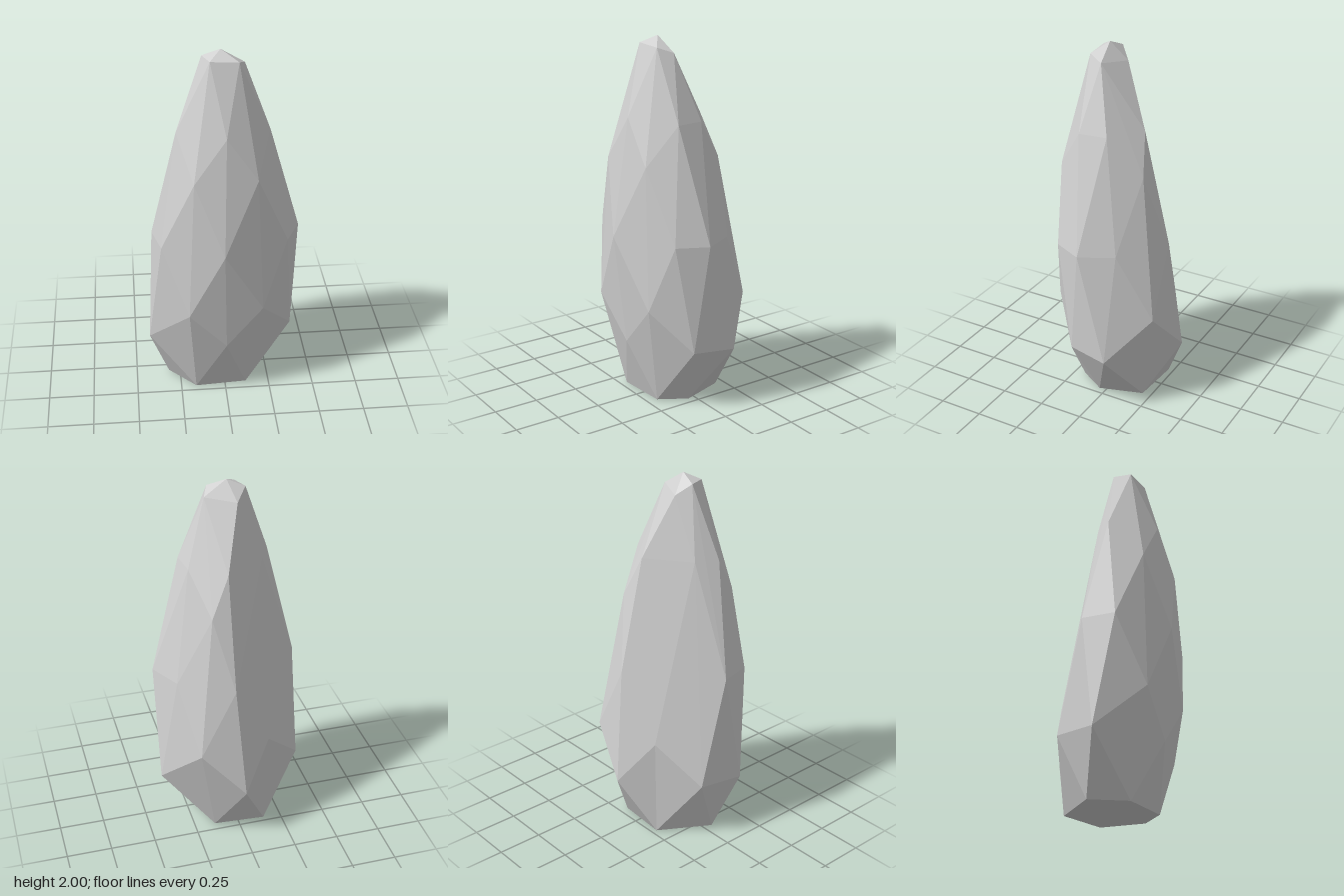
import * as THREE from 'three';
import { ConvexGeometry } from 'three/addons/geometries/ConvexGeometry.js';

// Corner rings of the stone, bottom to top: each has a height and [x, z, height offset] corners
const RINGS = [
  { y: 0, corners: [[-0.165, 0.21], [0.12, 0.19], [0.21, 0.04], [0.135, -0.2], [-0.15, -0.22], [-0.315, 0.05]] },
  { y: 0.34, corners: [[0, 0.31], [0.375, 0.12, 0.01], [0.42, -0.11], [0, -0.375, -0.02], [-0.38, -0.09], [-0.42, 0.16, -0.01]] },
  { y: 0.57, corners: [[-0.205, 0.345], [0.2, 0.295], [0.235, -0.31], [-0.165, -0.24]] },
  { y: 0.95, corners: [[-0.015, 0.375], [0.335, 0.215], [0.415, 0.05], [0.32, -0.13], [0.04, -0.3], [-0.39, 0.065], [-0.345, 0.245]] },
  { y: 1.35, corners: [[-0.17, 0.305], [0.165, 0.285], [0.14, -0.195]] },
  { y: 1.57, corners: [[0, 0.285, 0.02], [0.24, 0.13], [0.222, -0.025], [0.04, -0.15], [-0.19, 0.015], [-0.25, 0.13]] },
  { y: 1.95, corners: [[-0.075, 0.16, 0.01], [0.075, 0.152], [0.11, 0.07, -0.03], [-0.05, 0, -0.05], [-0.11, 0.065, 0.01]] },
  { y: 2, corners: [[-0.015, 0.087]] },
];

// Turn the fold a-b, shared by faces a-b-c and a-b-d, into a shallow crease c-d
function flipFold(geometry, a, b, c, d) {
  const pos = geometry.attributes.position;
  const v = new THREE.Vector3();
  for (let f = 0; f < pos.count; f += 3) {
    const find = (p) => [f, f + 1, f + 2].find((i) => v.fromBufferAttribute(pos, i).distanceTo(p) < 1e-4);
    const ia = find(a), ib = find(b);
    if (ia === undefined || ib === undefined) continue;
    if (find(c) !== undefined) pos.setXYZ(ib, d.x, d.y, d.z);
    else if (find(d) !== undefined) pos.setXYZ(ia, c.x, c.y, c.z);
  }
  geometry.computeVertexNormals();
}

export function createModel() {
  const group = new THREE.Group();
  group.name = 'standingStone';

  const stoneGrey = new THREE.MeshStandardMaterial({ color: 0xd0d0d0, flatShading: true });
  stoneGrey.name = 'stoneGrey';

  // Faceted rock: flat faces stretched over the corner rings
  const rings = RINGS.map(({ y, corners }) =>
    corners.map(([x, z, dy = 0]) => new THREE.Vector3(x, y + dy, z)));
  const geometry = new ConvexGeometry(rings.flat());

  // Slight hollow low on the back
  flipFold(geometry, rings[1][4], rings[1][3], rings[0][4], rings[2][3]);

  const rock = new THREE.Mesh(geometry, stoneGrey);
  rock.name = 'rock';
  group.add(rock);

  return group;
}
